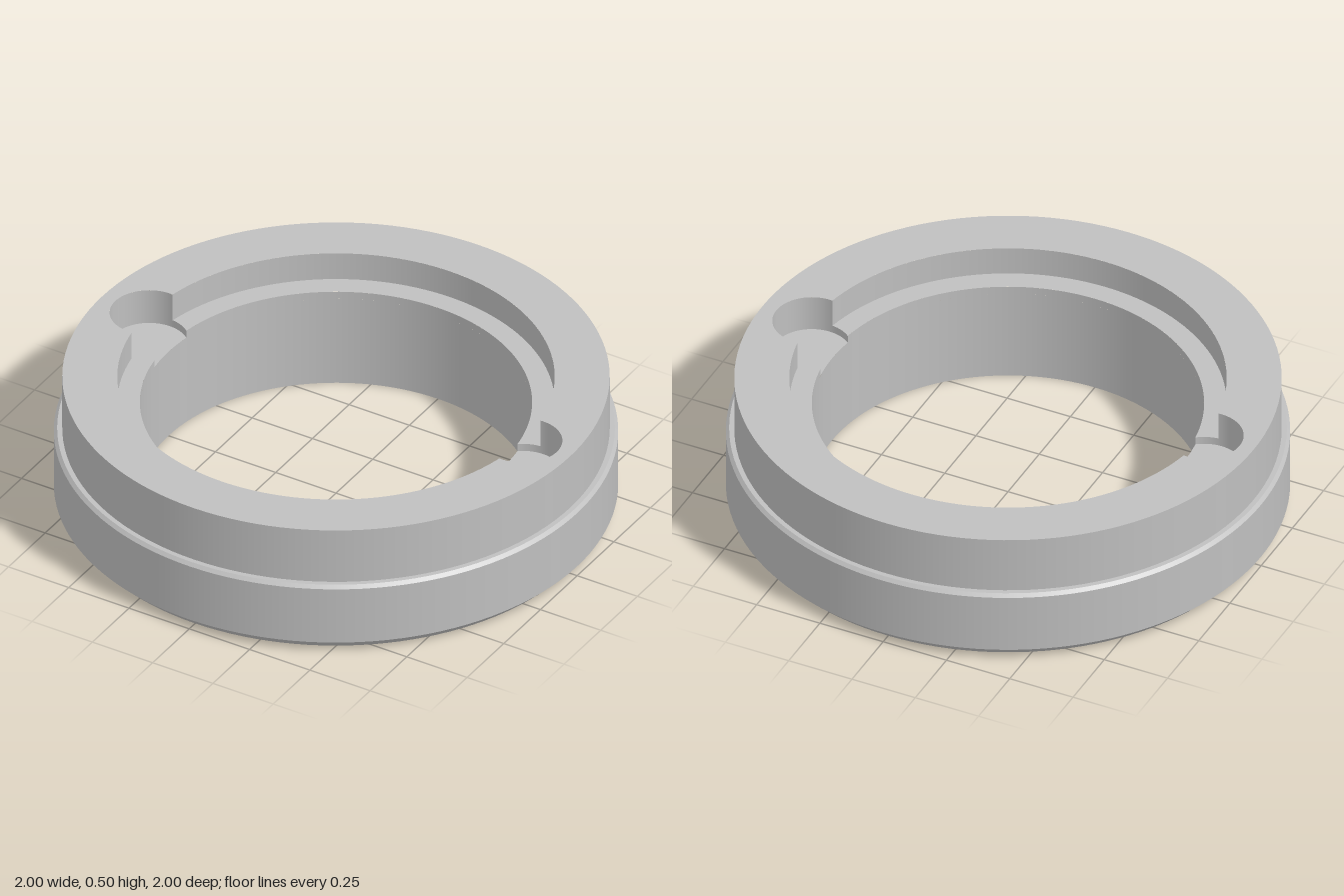
import * as THREE from 'three';

const H = 0.5, LEDGE = 0.39, FLOOR = 0.36;          // top, inner ledge and pocket floor heights
const BORE = 0.695, COUNTER = 0.775, POCKET = 0.14; // radii; pockets are centred on the counterbore
const HOLE = 0.035, HOLE_DEPTH = 0.15, HOLE_RING = 0.86;
const PI = Math.PI;

// Angles where a pocket circle meets the counterbore and the bore
const counterHalf = 2 * Math.asin(POCKET / (2 * COUNTER));
const boreHalf = Math.acos((COUNTER ** 2 + BORE ** 2 - POCKET ** 2) / (2 * COUNTER * BORE));
const pocketOuter = PI / 2 + counterHalf / 2;
const pocketInner = Math.atan2(BORE * Math.sin(boreHalf), BORE * Math.cos(boreHalf) - COUNTER);

export function createModel() {
  const model = new THREE.Group();
  const metal = new THREE.MeshStandardMaterial({ color: 0xbfbfbf });
  metal.name = 'grey metal';

  const add = (name, geometry, parent = model) => {
    const mesh = new THREE.Mesh(geometry, metal);
    mesh.name = name;
    parent.add(mesh);
    return mesh;
  };

  // Surface of revolution between two profile points; descending profiles face inward
  const band = (r0, y0, r1, y1, from = 0, to = 2 * PI, segments = 128) =>
    new THREE.LatheGeometry(
      [new THREE.Vector2(r0, y0), new THREE.Vector2(r1, y1)],
      segments, PI / 2 - to, to - from);
  const inward = (r, low, high, from, to, segments) => band(r, high, r, low, from, to, segments);

  // Flat face at a height, facing up or down
  const flat = (shape, y, up = true) =>
    new THREE.ShapeGeometry(shape, 64).rotateX(up ? -PI / 2 : PI / 2).translate(0, y, 0);
  const circle = (r, x = 0, y = 0, Type = THREE.Path) => new Type().absarc(x, y, r, 0, 2 * PI, false);

  // Outer body: lower chamfer, wide band, small upper chamfer, shoulder and narrow collar
  const profile = [[0.96, 0], [1, 0.04], [1, 0.268], [0.988, 0.28], [0.97, 0.28], [0.97, H]];
  const names = ['lowerChamfer', 'wideBand', 'upperChamfer', 'shoulder', 'collar'];
  names.forEach((name, i) => add(name, band(...profile[i], ...profile[i + 1])));

  // Top face with the counterbore and pocket outline cut out
  const top = circle(0.97, 0, 0, THREE.Shape);
  const outline = new THREE.Path();
  outline.absarc(COUNTER, 0, POCKET, -pocketOuter, pocketOuter, false);
  outline.absarc(0, 0, COUNTER, counterHalf, PI - counterHalf, false);
  outline.absarc(-COUNTER, 0, POCKET, PI - pocketOuter, PI + pocketOuter, false);
  outline.absarc(0, 0, COUNTER, PI + counterHalf, 2 * PI - counterHalf, false);
  top.holes.push(outline);
  add('topFace', flat(top, H));

  // Bottom face with three blind holes
  const bottom = circle(0.96, 0, 0, THREE.Shape);
  bottom.holes.push(circle(BORE));
  for (const degrees of [25, 145, 265]) {
    const angle = THREE.MathUtils.degToRad(degrees);
    const x = HOLE_RING * Math.cos(angle), z = HOLE_RING * Math.sin(angle);
    bottom.holes.push(circle(HOLE, x, z));
    const hole = new THREE.Group();
    hole.name = 'blindHole';
    hole.position.set(x, 0, z);
    add('holeWall', inward(HOLE, 0, HOLE_DEPTH, 0, 2 * PI, 32), hole);
    add('holeEnd', flat(circle(HOLE, 0, 0, THREE.Shape), HOLE_DEPTH, false), hole);
    model.add(hole);
  }
  add('bottomFace', flat(bottom, 0, false));

  // Main bore
  add('boreWall', inward(BORE, 0, FLOOR));

  // Ledge between the pockets
  const ledge = new THREE.Shape();
  ledge.absarc(0, 0, COUNTER, counterHalf, PI - counterHalf, false);
  ledge.absarc(-COUNTER, 0, POCKET, PI - pocketOuter, PI - pocketInner, true);
  ledge.absarc(0, 0, BORE, PI - boreHalf, boreHalf, true);
  ledge.absarc(COUNTER, 0, POCKET, pocketInner, pocketOuter, true);

  // Crescent floor of a pocket
  const floor = new THREE.Shape();
  floor.absarc(COUNTER, 0, POCKET, -pocketInner, pocketInner, false);
  floor.absarc(0, 0, BORE, boreHalf, -boreHalf, true);

  // Each half holds one ledge, its walls and one pocket
  for (let i = 0; i < 2; i++) {
    const half = new THREE.Group();
    half.name = i ? 'rightInterior' : 'leftInterior';
    half.rotation.y = i * PI;
    add('ledge', flat(ledge, LEDGE), half);
    add('ledgeEdge', inward(BORE, FLOOR, LEDGE, boreHalf, PI - boreHalf, 64), half);
    add('counterboreWall', inward(COUNTER, LEDGE, H, counterHalf, PI - counterHalf, 64), half);
    add('pocketFloor', flat(floor, FLOOR), half);
    const pocket = new THREE.Group();
    pocket.name = 'pocketWalls';
    pocket.position.x = COUNTER;
    add('pocketWall', inward(POCKET, FLOOR, H, -pocketOuter, pocketOuter, 48), pocket);
    add('pocketStep', inward(POCKET, FLOOR, LEDGE, pocketOuter, pocketInner, 12), pocket);
    add('pocketStep', inward(POCKET, FLOOR, LEDGE, -pocketInner, -pocketOuter, 12), pocket);
    half.add(pocket);
    model.add(half);
  }
  return model;
}
